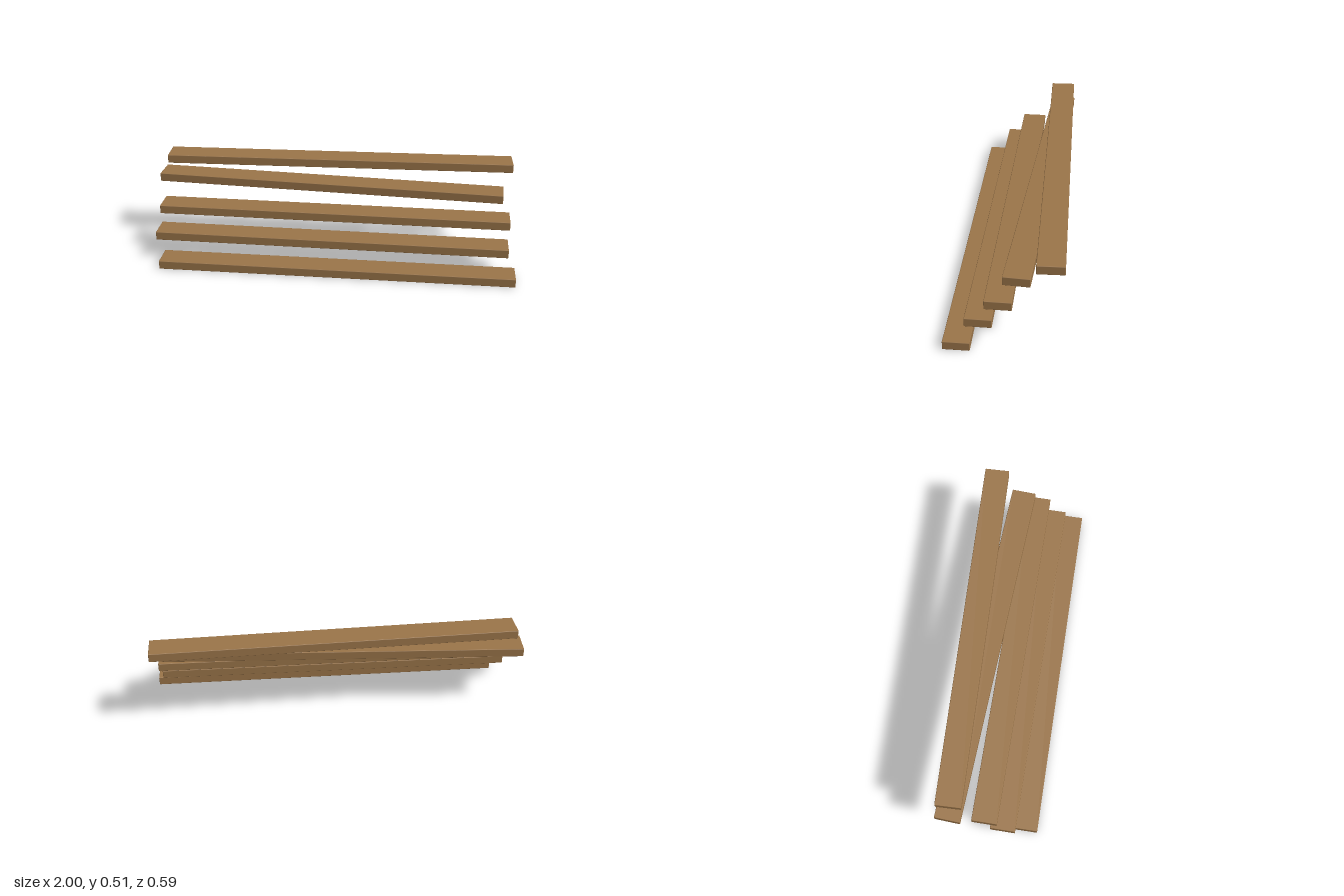
import * as THREE from 'three';
import { RoundedBoxGeometry } from 'three/addons/geometries/RoundedBoxGeometry.js';

export function createModel() {
  const model = new THREE.Group();
  model.name = 'plankSteps';

  const wood = new THREE.MeshStandardMaterial({ color: 0x9c764a });
  wood.name = 'brown wood';

  // One plank with slightly eased edges, shared by every step
  const plank = new RoundedBoxGeometry(1.921, 0.047, 0.134, 1, 0.003);

  // Centre x, y, z and yaw of each plank, from the bottom up
  const steps = [
    [0.035, 0.024, 0.224, 0.0073],
    [-0.005, 0.141, 0.115, 0.0003],
    [0, 0.257, 0.018, 0.001],
    [-0.038, 0.373, -0.114, -0.0495],
    [0.01, 0.488, -0.194, 0.037],
  ];

  steps.forEach(([x, y, z, yaw], i) => {
    const mesh = new THREE.Mesh(plank, wood);
    mesh.name = `plank${i + 1}`;
    mesh.position.set(x, y, z);
    mesh.rotation.y = yaw;
    model.add(mesh);
  });

  return model;
}
